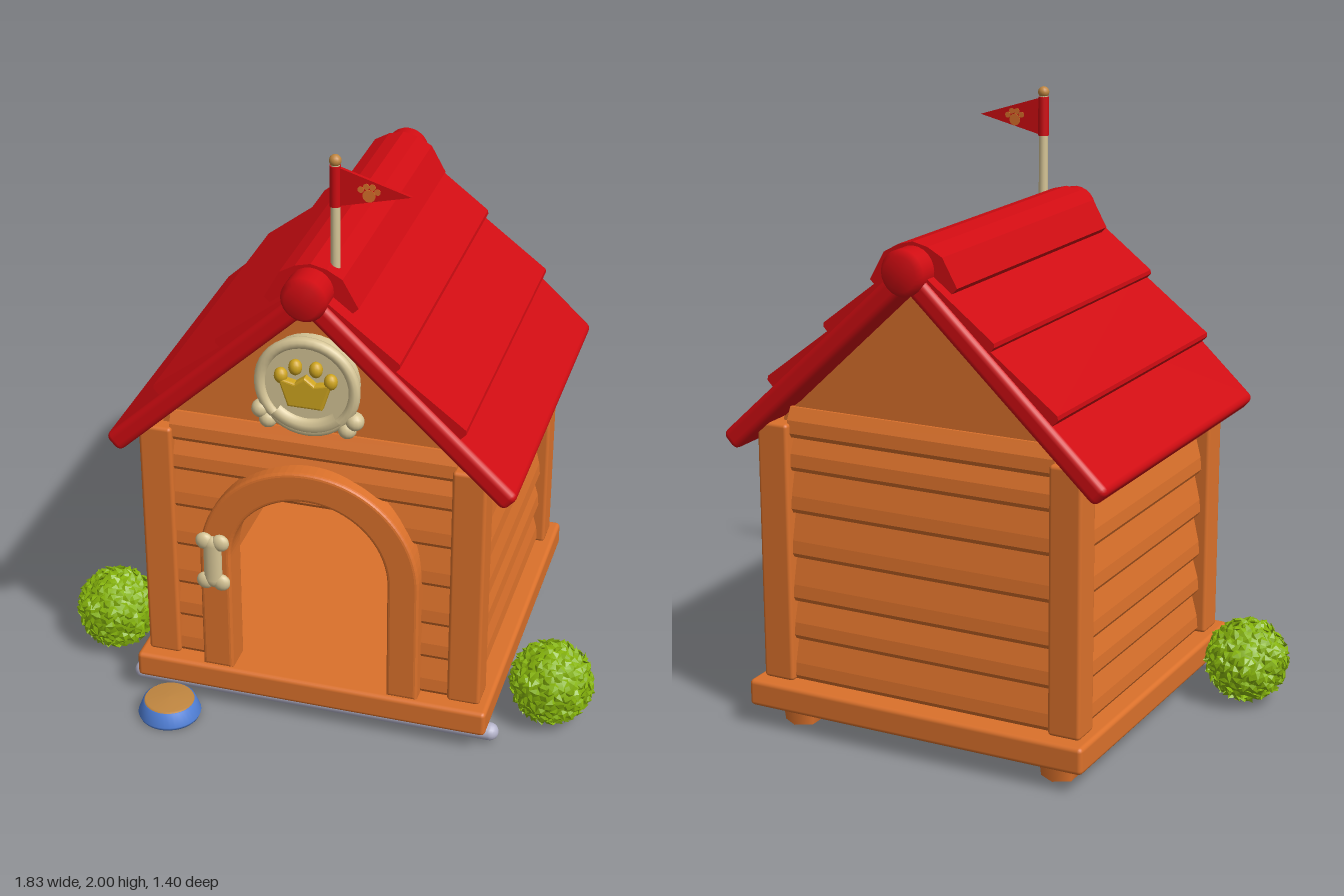
import * as THREE from 'three';
import { mergeGeometries } from 'three/addons/utils/BufferGeometryUtils.js';
import { RoundedBoxGeometry } from 'three/addons/geometries/RoundedBoxGeometry.js';

const mat = (name, color) => {
  const m = new THREE.MeshStandardMaterial({ color });
  m.name = name;
  return m;
};
const wood = mat('orange wood', 0xdb712b), red = mat('roof red', 0xd00c12), cream = mat('bone cream', 0xd6c596),
  gold = mat('gold', 0xcfa51f), leaf = mat('leaf green', 0x86b40c), blue = mat('bowl blue', 0x5080d8),
  tan = mat('food tan', 0xc08640), lavender = mat('pale lavender', 0xb6b5cc), pink = mat('cushion pink', 0xc06f96),
  dark = mat('dark plum', 0x4a3a46);

const add = (parent, name, geo, material, x = 0, y = 0, z = 0) => {
  const m = new THREE.Mesh(geo, material);
  m.name = name;
  m.position.set(x, y, z);
  parent.add(m);
  return m;
};
const group = (parent, name, x = 0, y = 0, z = 0) => {
  const g = new THREE.Group();
  g.name = name;
  g.position.set(x, y, z);
  parent.add(g);
  return g;
};
const box = (w, h, d, r = 0.012) => new RoundedBoxGeometry(w, h, d, 2, r);
const poly = pts => new THREE.Shape(pts.map(p => new THREE.Vector2(p[0], p[1])));
const extrude = (shape, depth, bevel = 0) => new THREE.ExtrudeGeometry(shape, {
  depth, bevelEnabled: bevel > 0, bevelSize: bevel, bevelThickness: bevel, bevelSegments: 3, curveSegments: 24 });

// Arched outline used for the doorway and its trim
const arch = (path, r, y0, yc) => {
  path.moveTo(-r, y0);
  path.lineTo(r, y0);
  path.lineTo(r, yc);
  path.absarc(0, yc, r, 0, Math.PI, false);
  path.lineTo(-r, y0);
  return path;
};

// One lapped board spanning x0..x1, thick at its lower edge and facing +z
function board(x0, x1, y0, y1, t = 0.038) {
  const s = poly([[0, y0 + 0.003], [t * 0.75, y0 + 0.003], [t, y0 + 0.018], [t * 0.9, y0 + 0.06], [t * 0.35, y1], [0, y1]]);
  return extrude(s, x1 - x0).rotateY(-Math.PI / 2).translate(x1, 0, 0);
}
const ROWS = [0.16, 0.30, 0.43, 0.58, 0.73, 0.87, 0.98, 1.08];

function siding(parent, name, half, rows, x, z, turn, gap = []) {
  const g = group(parent, name, x, 0, z);
  g.rotation.y = turn;
  for (let i = 0; i < rows; i++) {
    const spans = gap[i] ? [[-half, -gap[i]], [gap[i], half]] : [[-half, half]];
    spans.forEach(([a, b]) => add(g, 'sidingBoard', board(a, b, ROWS[i], ROWS[i + 1]), wood));
  }
}

function bush(parent, x) {
  const g = group(parent, 'bush', x, 0.145, 0.26);
  let seed = 7;
  const rnd = () => (seed = (seed * 16807) % 2147483647) / 2147483647;
  const parts = [], o = new THREE.Object3D(), n = 260;
  for (let i = 0; i < n; i++) {
    const y = 1 - 2 * (i + 0.5) / n, r = Math.sqrt(1 - y * y), a = i * 2.39996;
    o.position.set(r * Math.cos(a), y, r * Math.sin(a)).multiplyScalar(0.132);
    o.lookAt(0, 0, 0);
    o.rotateZ(rnd() * 6.28);
    o.rotateX(0.3 + rnd() * 0.4);
    o.scale.set(0.017, 0.024, 0.008);
    o.updateMatrix();
    parts.push(new THREE.OctahedronGeometry(1, 0).applyMatrix4(o.matrix));
  }
  add(g, 'leaves', mergeGeometries(parts), leaf);
  add(g, 'bushCore', new THREE.SphereGeometry(0.13, 20, 14), leaf);
}

export function createModel() {
  const model = new THREE.Group();
  model.name = 'dogHouse';

  // Base and feet
  add(model, 'basePlatform', box(1.2, 0.09, 1.2, 0.015), wood, 0, 0.115, -0.08);
  for (const x of [-0.47, 0.47]) for (const z of [0.38, -0.555])
    add(model, 'foot', new THREE.CylinderGeometry(0.07, 0.06, 0.08, 6), wood, x, 0.04, z);

  // Corner posts
  for (const x of [-0.515, 0.515]) for (const z of [0.425, -0.58])
    add(model, 'cornerPost', box(0.11, 0.87, 0.105), wood, x, 0.595, z);

  // Gable walls, the front one with an arched doorway
  const gable = () => poly([[-0.5, 0.15], [0.5, 0.15], [0.5, 1.04], [0, 1.51], [-0.5, 1.04]]);
  const front = gable();
  front.holes.push(arch(new THREE.Path(), 0.27, 0.16, 0.59));
  add(model, 'frontWall', extrude(front, 0.04), wood, 0, 0, 0.39);
  add(model, 'backWall', extrude(gable(), 0.04), wood, 0, 0, -0.58);
  for (const s of [-1, 1]) add(model, 'sideWall', new THREE.BoxGeometry(0.03, 0.88, 0.94), wood, s * 0.495, 0.59, -0.08);

  // Lapped siding
  siding(model, 'frontSiding', 0.47, 7, 0, 0.425, 0, [0.29, 0.29, 0.29, 0.29, 0.232]);
  siding(model, 'backSiding', 0.47, 7, 0, -0.575, Math.PI);
  siding(model, 'innerBackSiding', 0.48, 7, 0, -0.545, 0);
  for (const s of [-1, 1]) siding(model, 'sideSiding', 0.46, 6, s * 0.505, -0.08, s * Math.PI / 2);

  // Door trim
  const trim = new THREE.Shape();
  trim.moveTo(0.355, 0.17);
  trim.lineTo(0.355, 0.59);
  trim.absarc(0, 0.59, 0.355, 0, Math.PI, false);
  trim.lineTo(-0.355, 0.17);
  trim.lineTo(-0.275, 0.17);
  trim.lineTo(-0.275, 0.59);
  trim.absarc(0, 0.59, 0.275, Math.PI, 0, true);
  trim.lineTo(0.275, 0.17);
  add(model, 'doorTrim', extrude(trim, 0.09, 0.012), wood, 0, 0, 0.405);

  // Bone hung on the door trim
  const bone = group(model, 'doorBone', -0.315, 0.585, 0.522);
  bone.scale.z = 0.65;
  add(bone, 'boneShaft', new THREE.CapsuleGeometry(0.031, 0.13, 4, 14), cream);
  for (const x of [-0.027, 0.027]) for (const y of [-0.076, 0.076])
    add(bone, 'boneKnob', new THREE.SphereGeometry(0.03, 14, 10), cream, x, y);

  // Roof slopes with lapped boards
  const tilt = Math.atan(0.93), len = 0.923;
  for (const s of [-1, 1]) {
    const slope = group(model, 'roofSlope', 0, 1.613, -0.085);
    slope.rotation.z = -s * tilt;
    add(slope, 'roofPanel', box(len, 0.07, 1.19, 0.022), red, s * len / 2, -0.035, 0);
    for (const [a, b] of [[0.04, 0.378], [0.34, 0.665]]) {
      const wedge = poly([[s * a, -0.02], [s * b, -0.02], [s * b, 0.026], [s * (b - 0.01), 0.035], [s * a, 0.004]]);
      add(slope, 'roofBoard', extrude(wedge, 1.15), red, 0, 0, -0.575);
    }
  }

  // Ridge cap and ridge pole
  const cap = poly([[-0.12, 1.5], [0.12, 1.5], [0.15, 1.53], [0.1, 1.62], [0.05, 1.648], [0, 1.66],
    [-0.05, 1.648], [-0.1, 1.62], [-0.15, 1.53]]);
  add(model, 'ridgeCap', extrude(cap, 1.06), red, 0, 0, -0.62);
  const ridge = [[0, -0.62], [0.055, -0.62], [0.073, -0.6], [0.073, 0.6], [0.055, 0.62], [0, 0.62]]
    .map(p => new THREE.Vector2(...p));
  add(model, 'ridgePole', new THREE.LatheGeometry(ridge, 24), red, 0, 1.575, -0.085).rotation.x = Math.PI / 2;

  // Medallion with a curved bone and a paw pad
  const medal = group(model, 'medallion', 0, 1.265, 0.47);
  add(medal, 'medallionDisc', new THREE.CylinderGeometry(0.155, 0.155, 0.07, 36), cream, 0, 0, -0.013).rotation.x = Math.PI / 2;
  add(medal, 'medallionRim', new THREE.TorusGeometry(0.152, 0.019, 10, 40), cream, 0, 0, 0.018);
  add(medal, 'curvedBone', new THREE.TorusGeometry(0.15, 0.028, 10, 20, 1.5), cream, 0, 0.015, 0.015).rotation.z = -Math.PI / 2 - 0.75;
  for (const s of [-1, 1]) for (const [x, y] of [[0.128, -0.132], [0.152, -0.1]])
    add(medal, 'boneKnob', new THREE.SphereGeometry(0.03, 14, 10), cream, s * x, y, 0.015);
  const pad = poly([[-0.05, -0.055], [0.05, -0.055], [0.078, 0.025], [0.03, 0.012], [0, 0.035], [-0.03, 0.012], [-0.078, 0.025]]);
  add(medal, 'pawPad', extrude(pad, 0.02, 0.008), gold, 0, 0, 0.02);
  for (const [x, y] of [[-0.08, 0.035], [-0.033, 0.07], [0.033, 0.07], [0.08, 0.035]])
    add(medal, 'pawToe', new THREE.SphereGeometry(0.024, 14, 10), gold, x, y, 0.03).scale.set(0.9, 1.1, 0.9);

  // Flag
  const flag = group(model, 'flag', 0.062, 0, 0.385);
  add(flag, 'flagPole', new THREE.CylinderGeometry(0.014, 0.016, 0.44, 12), cream, 0, 1.76, 0);
  add(flag, 'poleTip', new THREE.SphereGeometry(0.019, 14, 10), tan, 0, 1.981, 0);
  add(flag, 'poleSleeve', new THREE.CylinderGeometry(0.018, 0.018, 0.13, 12), red, 0, 1.9, 0);
  add(flag, 'pennant', extrude(poly([[0, 1.835], [0.235, 1.893], [0, 1.965]]), 0.012), red, 0, 0, -0.006);
  for (const z of [-0.0065, 0.0065]) {
    for (const [x, y, r] of [[0.105, 1.882, 0.02], [0.08, 1.9, 0.01], [0.097, 1.911, 0.01], [0.116, 1.911, 0.01], [0.131, 1.897, 0.01]])
      add(flag, 'flagPaw', new THREE.CylinderGeometry(r, r, 0.003, 14), wood, x, y, z).rotation.x = Math.PI / 2;
  }

  // Front rail on the ground
  add(model, 'groundRail', new THREE.CapsuleGeometry(0.03, 1.21, 6, 16), lavender, -0.005, 0.037, 0.44).rotation.z = Math.PI / 2;

  // Food bowl
  const lathe = pts => new THREE.LatheGeometry(pts.map(p => new THREE.Vector2(...p)), 36);
  add(model, 'foodBowl', lathe([[0, 0], [0.1, 0], [0.105, 0.012], [0.088, 0.056], [0.08, 0.056]]), blue, -0.46, 0, 0.595);
  add(model, 'food', lathe([[0.085, 0.054], [0.08, 0.062], [0, 0.065]]), tan, -0.46, 0, 0.595);

  // Round cushion under the floor with a dark middle
  add(model, 'cushion', lathe([[0.2, 0.052], [0.235, 0.046], [0.255, 0.03], [0.285, 0.02], [0.32, 0.025],
    [0.345, 0.045], [0.36, 0.052], [0.36, 0.075]]), pink, 0, 0, -0.03);
  add(model, 'cushionMiddle', new THREE.CylinderGeometry(0.21, 0.21, 0.02, 36), dark, 0, 0.062, -0.03);

  // Bushes
  bush(model, -0.77);
  bush(model, 0.765);
  return model;
}
